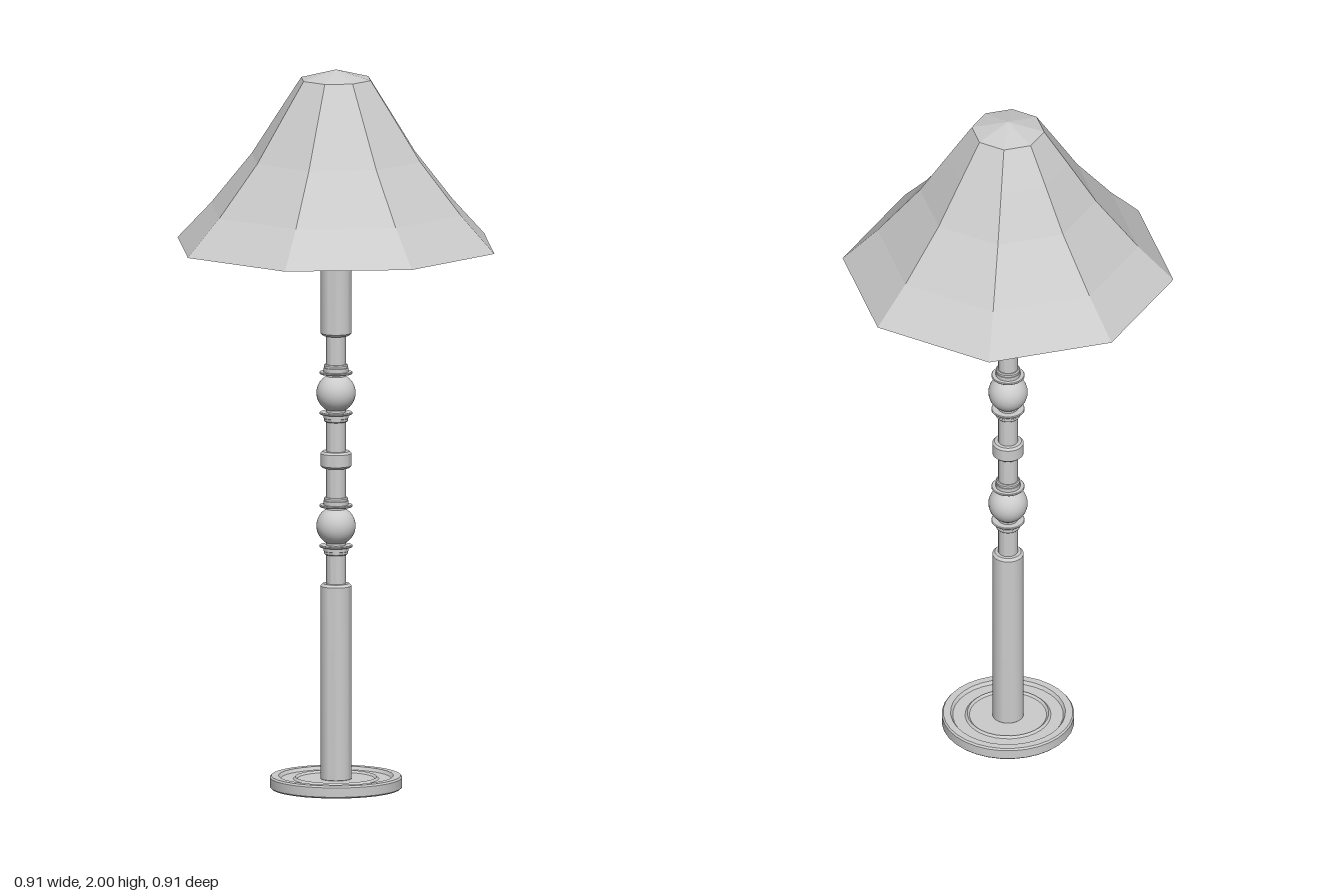
import * as THREE from 'three';
import { toCreasedNormals } from 'three/addons/utils/BufferGeometryUtils.js';

const SEGMENTS = 32;

export function createModel() {
  const lamp = new THREE.Group();
  lamp.name = 'floorLamp';
  const material = new THREE.MeshStandardMaterial({ color: 0xcccccc });
  const shadeMaterial = new THREE.MeshStandardMaterial({
    color: 0xcccccc, flatShading: true, side: THREE.DoubleSide,
  });

  const add = (name, geometry, mat = material) => {
    const mesh = new THREE.Mesh(geometry, mat);
    mesh.name = name;
    lamp.add(mesh);
    return mesh;
  };
  // Turned part from [radius, height] pairs listed bottom to top
  const turned = (name, profile) => add(name, toCreasedNormals(
    new THREE.LatheGeometry(profile.map(([r, y]) => new THREE.Vector2(r, y)), SEGMENTS), 0.6));
  // Collar with small bevels on both rims
  const collar = (name, r, y0, y1, b = 0.004) => turned(name, [
    [0, y0], [r - b, y0], [r, y0 + b], [r, y1 - b], [r - b, y1], [0, y1],
  ]);

  // Round foot with a raised rim and a stepped ring
  turned('base', [
    [0, 0], [0.178, 0], [0.182, 0.004], [0.182, 0.03], [0.178, 0.035], [0.158, 0.035],
    [0.152, 0.026], [0.118, 0.026], [0.112, 0.032], [0.106, 0.026], [0, 0.026],
  ]);

  // Wide columns and the thin spindle joining them
  collar('lowerColumn', 0.043, 0.02, 0.57, 0.007);
  collar('spindle', 0.027, 0.56, 1.27, 0.001);
  collar('upperColumn', 0.043, 1.26, 1.63, 0.007);

  // Two balls, each held between thin discs and small rings
  for (const y of [0.73, 1.1]) {
    const ball = add('ball', new THREE.SphereGeometry(0.054, SEGMENTS, 20));
    ball.position.y = y;
    for (const side of [-1, 1]) {
      const disc = y + side * 0.056;
      const ring = y + side * 0.073;
      collar('thinDisc', 0.046, disc - 0.003, disc + 0.003, 0.002);
      collar('neck', 0.034, Math.min(disc, ring), Math.max(disc, ring), 0.003);
      collar('smallRing', 0.033, ring - 0.007, ring + 0.007, 0.003);
    }
  }
  collar('middleRing', 0.043, 0.892, 0.938, 0.006);

  // Socket cap under the shade
  turned('socket', [
    [0, 1.61], [0.05, 1.61], [0.056, 1.617], [0.056, 1.675], [0.048, 1.69], [0, 1.69],
  ]);

  // Eight-sided flared shade, open below, with a shallow peaked top
  const shadeProfile = [
    [0.457, 1.51], [0.36, 1.612], [0.243, 1.755], [0.167, 1.872], [0.1, 1.974], [0, 2],
  ];
  add('shade', new THREE.LatheGeometry(
    shadeProfile.map(([r, y]) => new THREE.Vector2(r, y)), 8), shadeMaterial);

  return lamp;
}
